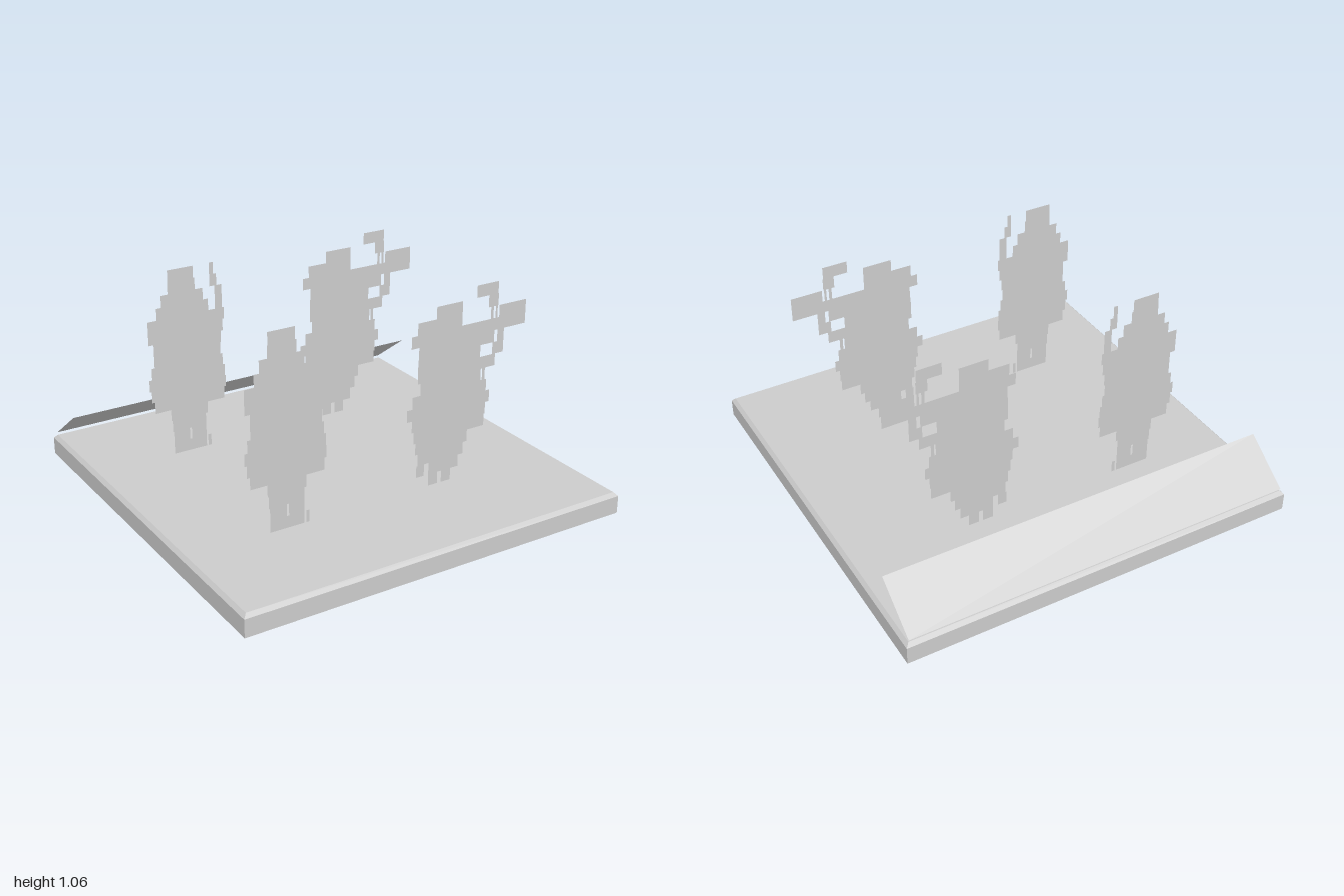
import * as THREE from 'three';
import { mergeGeometries } from 'three/addons/utils/BufferGeometryUtils.js';

const SLAB_TOP = 0.106;
const ROW = 0.0596; // height of one step row

// Stepped outlines, top row first: [start, end] pairs in hundredths of a unit along x
const TALL = [
  [-57.3, -43.9, -35.3, -33.2],
  [-57.5, -43.2, -35.3, -31.6],
  [-61.6, -39.1, -32.7, -28.9],
  [-64.2, -36.4, -32.7, -28.9],
  [-69, -28],
  [-69, -28.9],
  [-66.4, -30],
  [-66.4, -30.5],
  [-68, -29.4],
  [-69.5, -28.4],
  [-68.5, -28],
  [-67, -29],
  [-58.4, -38.5],
  [-57.8, -39.6],
  [-57.3, -48.7, -47.6, -39.6],
  [-57.3, -39.6, -38.7, -37],
];
const REACHING = [
  [53, 65.3],
  [30.5, 45, 60, 65.6],
  [20.3, 45, 61.5, 63, 64.2, 65.3, 66.4, 82],
  [17, 82],
  [21.2, 64, 65.8, 69.6],
  [20.9, 56.2, 63.2, 69.6],
  [20.9, 65],
  [22.5, 57, 57.8, 59.4],
  [18.2, 60.5],
  [15.3, 62.6],
  [18.2, 60.5],
  [19.3, 60],
  [20.5, 50.3],
  [22, 48.2],
  [21.4, 25.8, 28.4, 45.5],
  [28.4, 33.7, 35.9, 41.2],
];

// Flat cut-out made of one strip per interval
function cutout(rows) {
  const strips = [];
  rows.forEach((row, r) => {
    const y = SLAB_TOP + (rows.length - r - 0.5) * ROW;
    for (let i = 0; i < row.length; i += 2) {
      const a = row[i] / 100, b = row[i + 1] / 100;
      strips.push(new THREE.PlaneGeometry(b - a, ROW).translate((a + b) / 2, y, 0));
    }
  });
  return mergeGeometries(strips);
}

export function createModel() {
  const group = new THREE.Group();
  const grey = new THREE.MeshStandardMaterial({ color: 0xcccccc, side: THREE.DoubleSide });
  grey.name = 'grey';

  const add = (name, geometry, z = 0) => {
    const mesh = new THREE.Mesh(geometry, grey);
    mesh.name = name;
    mesh.position.z = z;
    group.add(mesh);
    return mesh;
  };

  // Square slab with a bevelled top edge: a four-sided lathe
  const d = Math.SQRT2;
  const profile = [[0, 0], [d, 0], [d, 0.088], [0.983 * d, SLAB_TOP], [0, SLAB_TOP]]
    .map(([x, y]) => new THREE.Vector2(x, y));
  const slab = new THREE.LatheGeometry(profile, 4, Math.PI / 4).toNonIndexed();
  slab.computeVertexNormals();
  add('baseSlab', slab);

  // Two pairs of standing cut-outs
  const tall = cutout(TALL), reaching = cutout(REACHING);
  for (const [side, z] of [['front', 0.47], ['back', -0.47]]) {
    add(side + 'TallCutout', tall, z);
    add(side + 'ReachingCutout', reaching, z);
  }

  // Sloping label panel along the back edge, facing up and back
  const rise = 0.171, run = 0.235;
  const panel = new THREE.PlaneGeometry(1.966, Math.hypot(rise, run))
    .rotateY(Math.PI)
    .rotateX(Math.atan2(run, rise))
    .translate(0, 0.2035, -0.87);
  add('backPanel', panel);

  return group;
}
